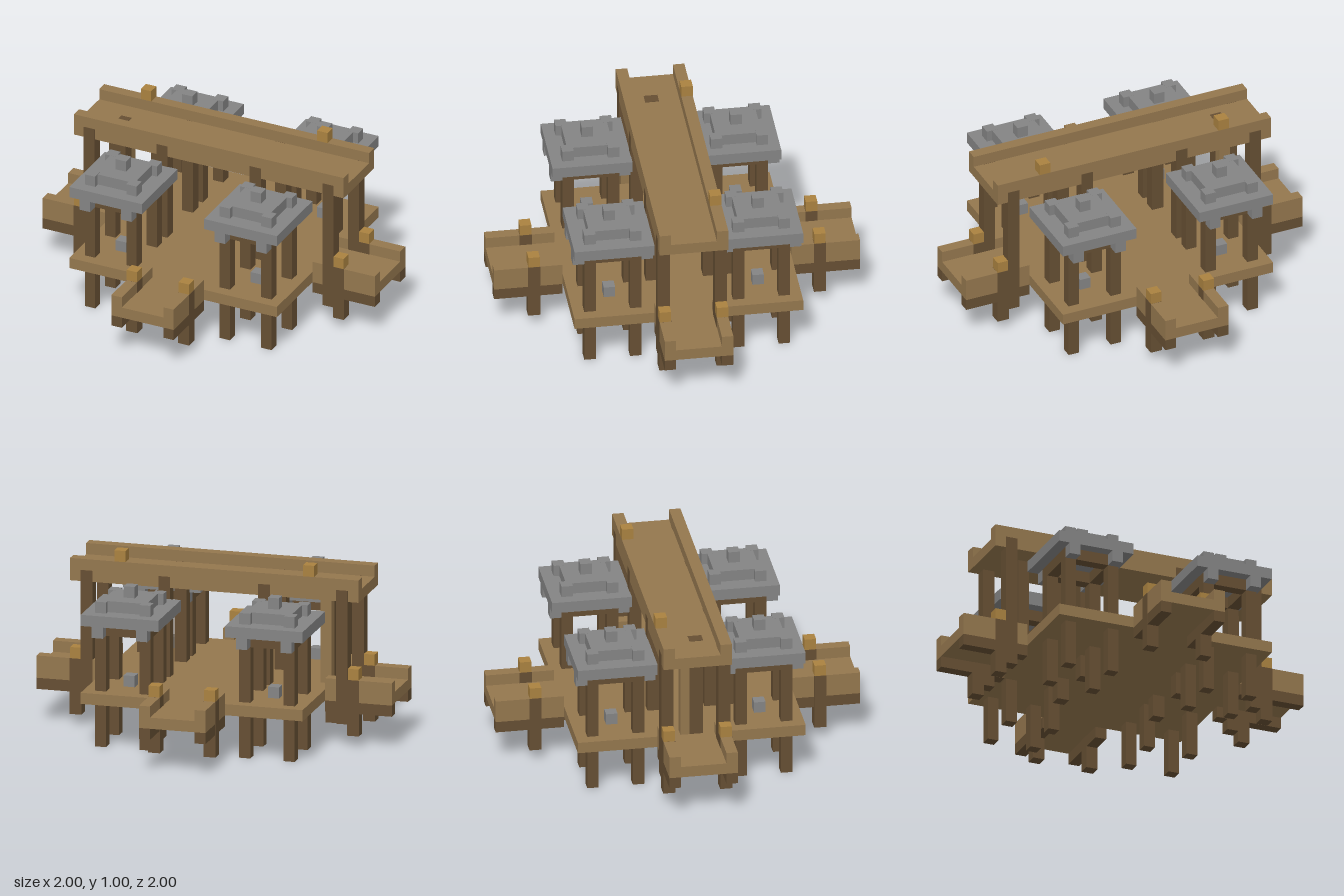
import * as THREE from 'three';

const U = 1 / 16; // building module
const mat = (name, color) => {
  const m = new THREE.MeshStandardMaterial({ color });
  m.name = name;
  return m;
};

export function createModel() {
  const plank = mat('plank brown', 0x94774e);
  const timber = mat('dark timber', 0x664f33);
  const brass = mat('lamp gold', 0xaa8240);
  const stone = mat('roof grey', 0x848484);

  // Box given by its limits in modules: [x0, x1], [y0, y1], [z0, z1]
  const box = (parent, name, m, x, y, z, grow = 0) => {
    const g = new THREE.BoxGeometry(
      (x[1] - x[0]) * U + grow, (y[1] - y[0]) * U, (z[1] - z[0]) * U + grow);
    const mesh = new THREE.Mesh(g, m);
    mesh.position.set((x[0] + x[1]) * U / 2, (y[0] + y[1]) * U / 2, (z[0] + z[1]) * U / 2);
    mesh.name = name;
    parent.add(mesh);
  };
  const group = (parent, name) => {
    const g = new THREE.Group();
    g.name = name;
    parent.add(g);
    return g;
  };
  const span = (c, h) => [c - h, c + h];

  const model = new THREE.Group();
  model.name = 'stiltPlatform';
  box(model, 'deck', plank, [-10, 10], [4, 5], [-10, 10]);

  // Four roofed towers on stilts, one in each corner
  for (const sx of [-1, 1]) for (const sz of [-1, 1]) {
    const tower = group(model, 'tower');
    const cx = 6.5 * sx, cz = 6.5 * sz;
    for (const dx of [-2, 2]) for (const dz of [-2, 2]) {
      const x = span(cx + dx, 0.5), z = span(cz + dz, 0.5);
      box(tower, 'stilt', timber, x, [0, 11], z);
      box(tower, 'roofCornerBlock', stone, x, [12, 13], z);
      box(tower, 'roofBracket', stone, x, [10, 11], span(cz + dz * 1.5, 0.5));
    }
    for (const d of [-2, 2]) {
      box(tower, 'crossbarX', timber, span(cx, 1.5), [10, 11], span(cz + d, 0.5));
      box(tower, 'crossbarZ', timber, span(cx + d, 0.5), [10, 11], span(cz, 1.5));
    }
    box(tower, 'roofSlab', stone, span(cx, 3.5), [11, 12], span(cz, 3.5));
    box(tower, 'roofStep', stone, span(cx, 2), [12, 12.99], span(cz, 2));
    box(tower, 'roofFinial', stone, span(cx, 0.5), [12.9, 14], span(cz, 0.5));
    box(tower, 'floorBlock', stone, span(cx, 0.5), [5, 6], span(cz, 0.5));
  }

  // Four jetties, built facing front and turned around the deck
  for (let i = 0; i < 4; i++) {
    const jetty = group(model, 'jetty');
    box(jetty, 'jettyFloor', plank, [-3, 3], [4, 5], [10, 16]);
    for (const s of [-1, 1]) {
      const x = span(2.5 * s, 0.5);
      box(jetty, 'jettyRail', plank, x, [5, 6], [10, 16]);
      box(jetty, 'jettyBeam', timber, x, [3, 4], [10, 16]);
      box(jetty, 'jettyPost', timber, x, [1, 6], [12, 13], 0.004);
      box(jetty, 'jettyLamp', brass, x, [6, 7], [12, 13]);
    }
    jetty.rotation.y = i * Math.PI / 2;
  }

  // High walkway across the middle
  const walkway = group(model, 'walkway');
  box(walkway, 'walkwayFloor', plank, [-13, 13], [13, 14], [-2, 2]);
  for (const s of [-1, 1]) {
    const z = span(2.5 * s, 0.5);
    box(walkway, 'walkwayRail', plank, [-13, 13], [13, 15], z);
    for (const x of [-11.5, -4.5, 4.5, 11.5])
      box(walkway, 'walkwayColumn', timber, span(x, 0.5), [2, 14], z, 0.004);
    box(walkway, 'walkwayLamp', brass, span(8.5 * s, 0.5), [15, 16], [-3, -2]);
  }

  // Climbing post with its plank, up to the walkway
  box(model, 'climbingPost', timber, [-10, -9], [5, 14.03], [-0.2, 1]);
  box(model, 'climbingPlank', plank, [-10, -9], [5, 13], [-1, -0.2]);

  return model;
}
